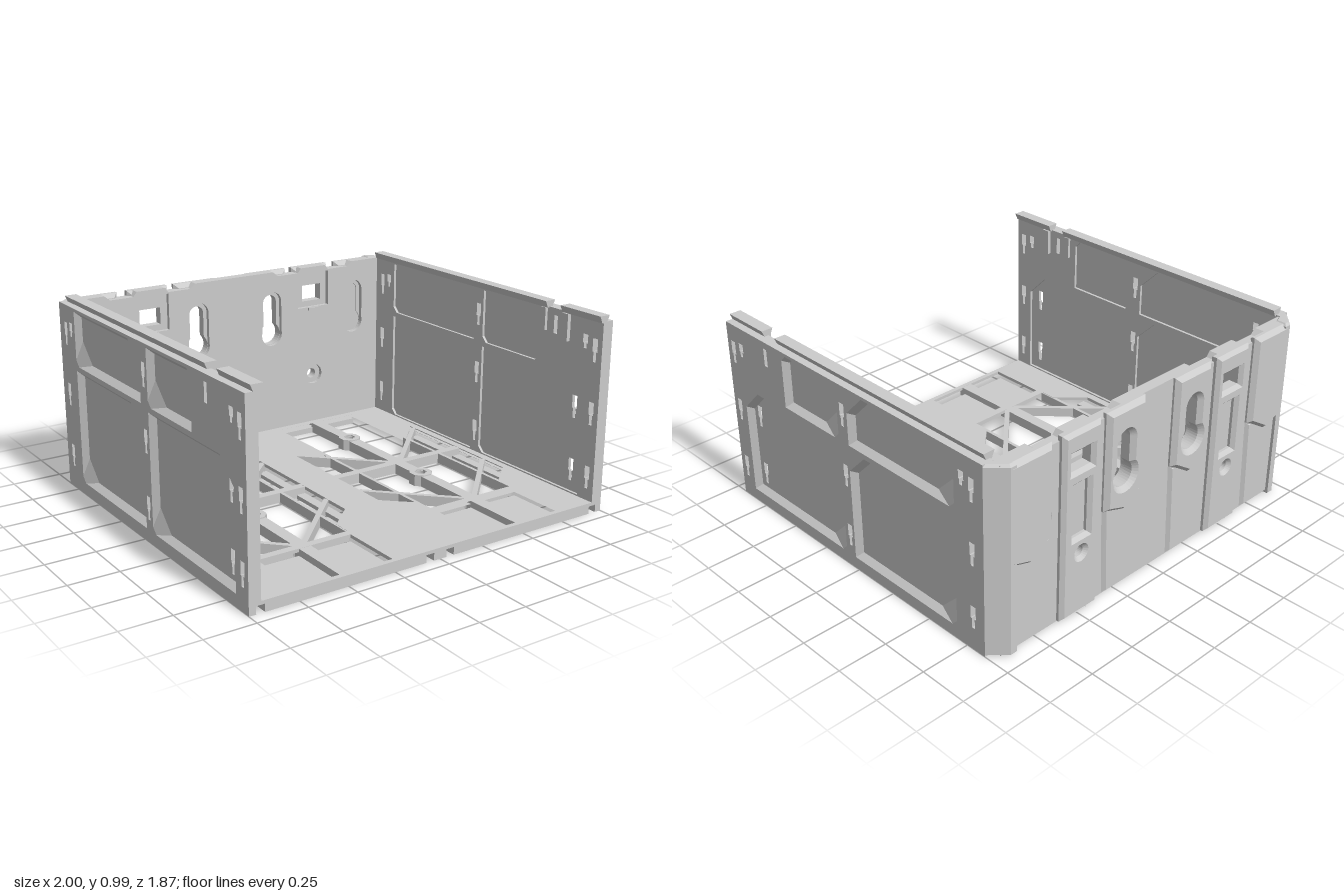
import * as THREE from 'three';

const mat = new THREE.MeshStandardMaterial({ color: 0xcccccc, flatShading: true });
const thin = new THREE.MeshStandardMaterial({ color: 0xcccccc, flatShading: true, side: THREE.DoubleSide });

const path = (pts) => new THREE.Path(pts.map(([a, b]) => new THREE.Vector2(a, b)));
const rect = (x0, y0, x1, y1) => [[x0, y0], [x1, y0], [x1, y1], [x0, y1]];
const circle = (x, y, r) => new THREE.Path().absarc(x, y, r, 0, Math.PI * 2);
const flipZ = (pts) => pts.map(([x, z]) => [x, -z]);

// Solid from an outline with holes, optionally with a chamfered rim kept inside the outline
function solid(pts, holes, depth, bevel = 0) {
  const s = new THREE.Shape(pts.map(([a, b]) => new THREE.Vector2(a, b)));
  s.holes = holes;
  const g = new THREE.ExtrudeGeometry(s, {
    depth: depth - 2 * bevel, curveSegments: 12, bevelEnabled: bevel > 0,
    bevelThickness: bevel, bevelSize: bevel, bevelOffset: -bevel, bevelSegments: 1,
  });
  return g.translate(0, 0, bevel);
}
const upright = (g, y) => g.rotateX(-Math.PI / 2).translate(0, y, 0); // plan (x,-z) -> raised along y
const sideways = (g, x) => g.rotateY(-Math.PI / 2).translate(x, 0, 0); // (z,y) -> outer face at x

function box(x0, x1, y0, y1, z0, z1) {
  return new THREE.BoxGeometry(x1 - x0, y1 - y0, z1 - z0)
    .translate((x0 + x1) / 2, (y0 + y1) / 2, (z0 + z1) / 2);
}

// Mirror across x, restoring the corner order
function mirrored(geo) {
  const g = geo.index ? geo.toNonIndexed() : geo.clone();
  g.scale(-1, 1, 1);
  const p = g.attributes.position, v = new THREE.Vector3(), w = new THREE.Vector3();
  for (let i = 0; i < p.count; i += 3) {
    v.fromBufferAttribute(p, i + 1);
    w.fromBufferAttribute(p, i + 2);
    p.setXYZ(i + 1, w.x, w.y, w.z);
    p.setXYZ(i + 2, v.x, v.y, v.z);
  }
  g.computeVertexNormals();
  return g;
}

// Keyhole: round entry at (x, y) and a slot of half width w up to top
function keyhole(x, y, r, w, top) {
  const a = Math.acos(w / r);
  return new THREE.Path()
    .absarc(x, y, r, Math.PI - a, 2 * Math.PI + a)
    .absarc(x, top - w, w, 0, Math.PI);
}
// Small stepped slot in the side walls
const stepSlot = ([z, y], k = 1) => path([
  [z - 0.009, y - 0.06 * k], [z + 0.009, y - 0.06 * k], [z + 0.009, y - 0.01], [z + 0.016, y - 0.01],
  [z + 0.016, y + 0.055 * k], [z - 0.016, y + 0.055 * k], [z - 0.016, y - 0.01], [z - 0.009, y - 0.01]]);

// Recessed side panel outline: chamfer c at front top, d at rear bottom, inset i
function panelOutline([z0, z1, y0, y1, c0], i, d) {
  const f = z0 - i, r = z1 + i, lo = y0 + i, hi = y1 - i, c = c0 - i * 0.59;
  return [[f, lo], [f, hi - c], [f - c, hi], [r, hi], [r, lo + d], [r + d, lo]];
}
function slopeRing(outer, inner, x0, x1) {
  const pos = [];
  outer.forEach((a, k) => {
    const n = (k + 1) % outer.length, b = outer[n], c = inner[n], d = inner[k];
    const A = [x0, a[1], a[0]], B = [x0, b[1], b[0]], C = [x1, c[1], c[0]], D = [x1, d[1], d[0]];
    pos.push(...A, ...B, ...C, ...A, ...C, ...D);
  });
  const g = new THREE.BufferGeometry();
  g.setAttribute('position', new THREE.Float32BufferAttribute(pos, 3));
  g.computeVertexNormals();
  return g;
}

export function createModel() {
  const model = new THREE.Group();
  const add = (name, g, m = mat) => {
    const mesh = new THREE.Mesh(g, m);
    mesh.name = name;
    model.add(mesh);
  };
  const pair = (name, g, m) => {
    add(name + 'Left', g, m);
    add(name + 'Right', mirrored(g), m);
  };

  // Side walls with recessed panels and slots
  const panels = [
    [0.02, -0.685, 0.062, 0.645, 0.11], [0.835, 0.085, 0.062, 0.645, 0.11],
    [0.015, -0.685, 0.67, 0.945, 0.11], [0.49, 0.085, 0.67, 0.945, 0.03]];
  const wallSlots = [];
  for (const z of [0.89, 0.05, -0.79]) for (const y of [0.815, 0.5, 0.175]) wallSlots.push(stepSlot([z, y]));
  for (const z of [0.825, -0.73]) wallSlots.push(stepSlot([z, 0.845], 0.6));
  wallSlots.push(path(rect(0.608, 0.835, 0.632, 0.925)));
  const outlines = panels.map((p) => panelOutline(p, 0, 0.03));
  pair('sideWall', sideways(solid(rect(-0.86, 0.04, 0.935, 0.96),
    [...wallSlots, ...outlines.map(path)], 0.06), 1));
  panels.forEach((p, k) => {
    const holes = k === 1 ? [stepSlot([0.765, 0.5]), stepSlot([0.765, 0.175])] : [];
    pair('sidePanel', sideways(solid(outlines[k], holes, 0.017), 0.971));
    pair('panelSlope', slopeRing(outlines[k], panelOutline(p, 0.027, 0.1), 1, 0.971), thin);
  });
  pair('wallFoot', box(0.965, 1, 0, 0.04, -0.86, 0.935));

  // Dovetail rails on the wall tops, with a latch in the gap
  for (const [z0, z1] of [[-0.84, 0.57], [0.67, 0.935]]) {
    pair('topRail', solid([[0.93, 0.955], [0.96, 0.955], [0.975, 0.99], [0.915, 0.99]], [], z1 - z0)
      .translate(0, 0, z0));
  }
  pair('latchGuide', box(0.92, 0.942, 0.82, 0.955, 0.68, 0.72));
  pair('latch', box(0.925, 0.945, 0.84, 0.955, 0.53, 0.56));

  // Floor plate: upper skin, and lower layer split by the dovetail grooves
  const opening = (s) => flipZ([
    [0.25, -0.81], [0.75, -0.81], [0.75, -0.31], [0.9, -0.46], [0.9, 0.33], [0.76, 0.46], [0.76, 0.55],
    [0.24, 0.55], [0.24, 0.46], [0.1, 0.33], [0.1, -0.46], [0.25, -0.31]].map(([x, z]) => [x * s, z]));
  const frontWell = (s) => flipZ(rect(0.25 * s, 0.59, 0.75 * s, 0.91));
  const holesFor = (s) => [path(opening(s)), path(frontWell(s))];
  add('floorSkin', upright(solid(flipZ(rect(-0.96, -0.87, 0.96, 0.935)),
    [...holesFor(1), ...holesFor(-1)], 0.017), 0.038));
  pair('floorBase', upright(solid(flipZ(rect(0.078, -0.87, 0.922, 0.935)), holesFor(1), 0.038), 0));
  add('floorKeel', box(-0.035, 0.035, 0, 0.038, -0.87, 0.935));

  // Floor lattice
  const bar = (x0, z0, x1, z1, w) => {
    const len = Math.hypot(x1 - x0, z1 - z0);
    return new THREE.BoxGeometry(len, 0.052, w).rotateY(-Math.atan2(z1 - z0, x1 - x0))
      .translate((x0 + x1) / 2, 0.028, (z0 + z1) / 2);
  };
  const hex = (r, n) => Array.from({ length: n }, (_, i) => {
    const a = (i + 0.5) / n * Math.PI * 2;
    return [r * Math.cos(a), r * Math.sin(a)];
  });
  const bosses = [-0.49, 0.15];
  const spineHoles = bosses.map((z) => circle(0.5, -z, 0.027));
  pair('floorSpine', upright(solid(flipZ(rect(0.468, -0.87, 0.532, 0.93)), spineHoles, 0.054), 0));
  for (const z of bosses) {
    pair('screwBoss', upright(solid(hex(0.06, 8), [path(hex(0.032, 6))], 0.06), 0).translate(0.5, 0, z));
  }
  pair('crossBar', bar(0.1, -0.043, 0.9, -0.043, 0.045));
  for (const s of [-1, 1]) {
    pair('rearBrace', bar(0.5 + s * 0.4, -0.43, 0.5 + s * 0.02, -0.05, 0.026));
    pair('frontBrace', bar(0.5 + s * 0.4, 0.17, 0.5 + s * 0.02, 0.55, 0.026));
    pair('thinBar', bar(0.5 + s * 0.26, -0.33, 0.5 + s * 0.26, 0.55, 0.018));
    // Low ledges along the sides of the openings
    const e = 0.5 + s * 0.4, i = 0.5 + s * 0.35, a = Math.min(e, i), b = Math.max(e, i);
    pair('rearLedge', box(a, b, 0, 0.02, -0.39, -0.06));
    pair('frontLedge', box(a, b, 0, 0.02, -0.02, 0.36));
  }
  pair('rearSill', box(0.25, 0.75, 0, 0.03, -0.85, -0.81));
  pair('frontTray', box(0.25, 0.75, 0, 0.02, 0.59, 0.89));

  // Back wall in two layers: wide cut-outs inside, narrow ones outside
  const half = [[0.24, 0.955], [0.27, 0.93], [0.4, 0.93], [0.42, 0.955], [0.58, 0.955],
    [0.6, 0.93], [0.73, 0.93], [0.76, 0.955], [0.95, 0.955]];
  const backOutline = [[-0.95, 0.005], [0.95, 0.005], ...half.slice().reverse(), ...half.map(([x, y]) => [-x, y])];
  const keyX = [-0.77, -0.228, 0.228, 0.77], midX = [-0.5, 0.5];
  const windowHole = (x) => path(rect(x - 0.06, 0.76, x + 0.06, 0.85));
  add('backWallInner', solid(backOutline, [
    ...keyX.map((x) => keyhole(x, 0.607, 0.064, 0.062, 0.847)),
    ...midX.map((x) => path(rect(x - 0.1, 0.728, x + 0.1, 0.922))),
    ...midX.map((x) => circle(x, 0.335, 0.056))], 0.022).translate(0, 0, -0.872));
  add('backWallOuter', solid(backOutline, [
    ...keyX.map((x) => keyhole(x, 0.607, 0.062, 0.041, 0.825)),
    ...midX.map(windowHole),
    ...midX.map((x) => circle(x, 0.335, 0.027))], 0.034).translate(0, 0, -0.906));
  for (const x of midX) add('windowLip', box(x - 0.035, x + 0.035, 0.712, 0.725, -0.852, -0.84));

  // Raised pads on the back
  for (const [x0, x1, k] of [[0.67, 0.93, 0.77], [0.1, 0.345, 0.228]]) {
    const c = (x0 + x1) / 2;
    pair('keyholePad', solid([[x0, 0.5], [c, 0.42], [x1, 0.46], [x1, 0.955], [x0, 0.955]],
      [keyhole(k, 0.607, 0.062, 0.041, 0.825)], 0.06, 0.022).translate(0, 0, -0.938));
    pair('lowerPad', solid([[x0 + 0.02, 0.01], [x1 - 0.02, 0.01], [x1, 0.5], [x0, 0.5]],
      [], 0.044, 0.016).translate(0, 0, -0.922));
  }
  pair('windowPad', solid(rect(0.385, 0.01, 0.615, 0.955), [
    path(rect(0.44, 0.76, 0.56, 0.85)), path(rect(0.455, 0.42, 0.545, 0.69)),
    circle(0.5, 0.335, 0.027), path(rect(0.48, 0.04, 0.52, 0.25))], 0.06, 0.018).translate(0, 0, -0.938));

  // Chamfered rear corner posts
  pair('cornerPost', upright(solid(flipZ([
    [1, -0.82], [1, -0.86], [0.92, -0.937], [0.885, -0.937], [0.885, -0.87], [0.94, -0.85], [0.94, -0.82]]),
  [], 0.96, 0.012), 0));
  return model;
}
